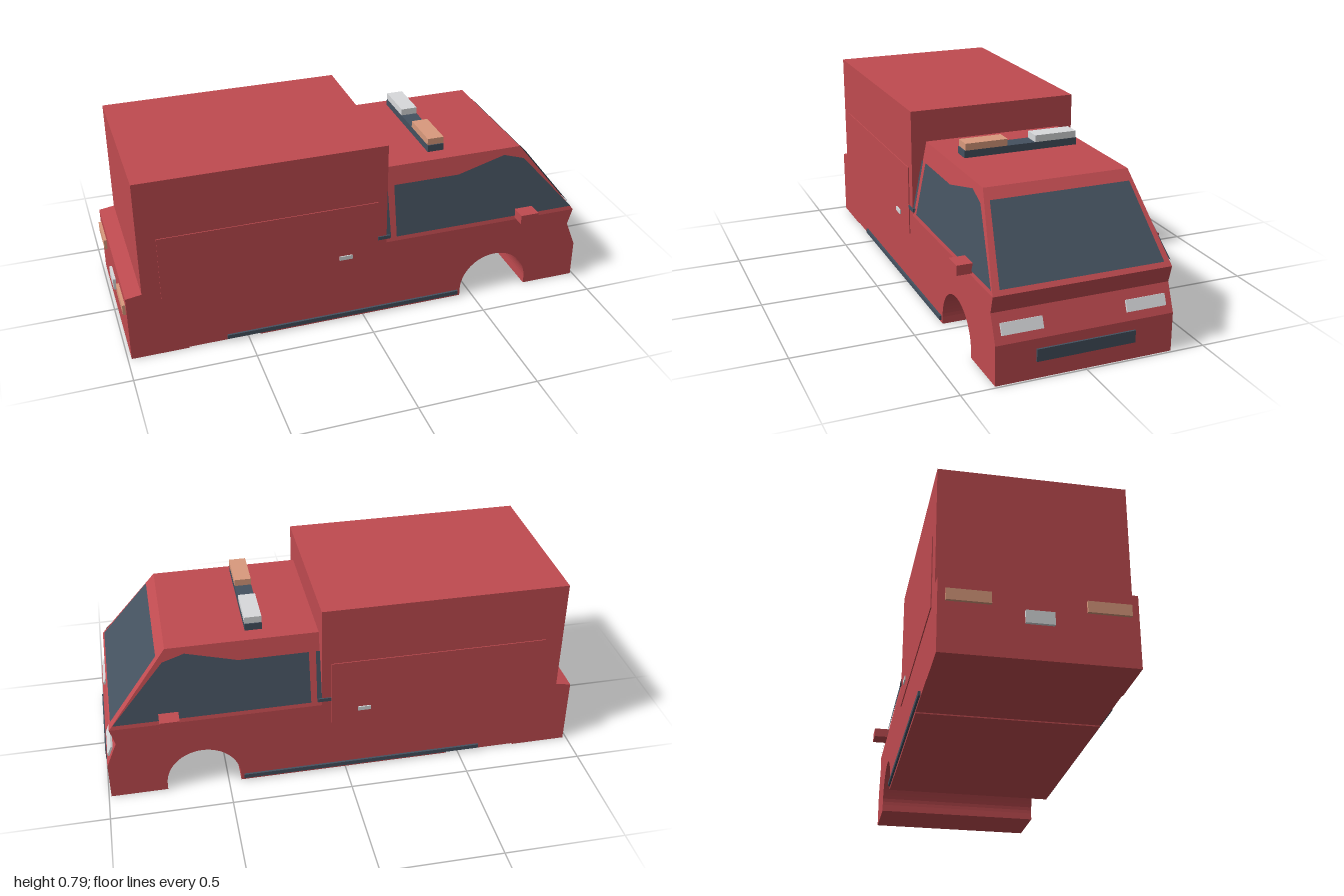
import * as THREE from 'three';
import { ConvexGeometry } from 'three/addons/geometries/ConvexGeometry.js';

const mat = (name, color, extra = {}) => {
  const m = new THREE.MeshStandardMaterial({ color, ...extra });
  m.name = name;
  return m;
};

export function createModel() {
  const group = new THREE.Group();
  group.name = 'serviceVan';
  const red = mat('red paint', 0xc04b50);
  const dark = mat('dark trim', 0x44515f, { side: THREE.DoubleSide });
  const white = mat('white lamp', 0xd8dadc);
  const orange = mat('orange lamp', 0xda9a7d);

  const HALF = 0.363, BELT = 0.34, ROOF = 0.657;

  const add = (name, geometry, material) => {
    const mesh = new THREE.Mesh(geometry, material);
    mesh.name = name;
    group.add(mesh);
    return mesh;
  };
  // Box given by its limits on each axis
  const box = (name, [x0, x1], [y0, y1], [z0, z1], material) => {
    const mesh = add(name, new THREE.BoxGeometry(x1 - x0, y1 - y0, z1 - z0), material);
    mesh.position.set((x0 + x1) / 2, (y0 + y1) / 2, (z0 + z1) / 2);
    return mesh;
  };
  // Flat outline laid onto a sloping surface by a rule
  const panel = (name, points, place) => {
    const geo = new THREE.ShapeGeometry(new THREE.Shape(points.map(p => new THREE.Vector2(...p))));
    const pos = geo.attributes.position;
    for (let i = 0; i < pos.count; i++) pos.setXYZ(i, ...place(pos.getX(i), pos.getY(i)));
    geo.computeVertexNormals();
    return add(name, geo, dark);
  };

  // Lower body with open front wheel arch
  const body = new THREE.Shape();
  body.moveTo(-0.985, 0);
  body.lineTo(-0.75, 0);
  body.lineTo(-0.75, 0.005);
  body.lineTo(-0.45, 0.005);
  body.lineTo(-0.45, 0);
  body.lineTo(0.448, 0);
  body.lineTo(0.448, 0.03);
  body.absarc(0.602, 0.03, 0.154, Math.PI, 0, true);
  body.lineTo(0.756, 0);
  [[0.99, 0], [0.99, 0.16], [0.945, 0.27], [0.965, BELT], [0.1, BELT], [0.1, 0.3],
    [-0.92, 0.3], [-0.985, 0.29]].forEach(p => body.lineTo(...p));
  const bodyGeo = new THREE.ExtrudeGeometry(body, { depth: HALF * 2, bevelEnabled: false, curveSegments: 16 });
  bodyGeo.translate(0, 0, -HALF);
  add('lowerBody', bodyGeo, red);

  // Cargo box and tapered cab
  box('cargoBox', [-0.92, 0.1], [0.29, 0.79], [-HALF, HALF], red);
  const cab = [];
  for (const s of [-1, 1]) {
    cab.push(new THREE.Vector3(0.1, BELT, s * HALF), new THREE.Vector3(0.965, BELT, s * HALF),
      new THREE.Vector3(0.1, ROOF, s * 0.298), new THREE.Vector3(0.715, ROOF, s * 0.298));
  }
  add('cabUpper', new ConvexGeometry(cab), red);

  // Windshield
  panel('windshield', [[-0.333, 0.36], [0.333, 0.36], [0.286, 0.62], [-0.286, 0.62]],
    (z, y) => [0.973 - (y - BELT) * 0.25 / 0.317, y, z]);

  // Parts mirrored on both sides
  for (const s of [-1, 1]) {
    const side = s > 0 ? 'left' : 'right';
    const label = n => (s < 0 ? 'left' : 'right') + n;
    const span = (a, b) => (s > 0 ? [a, b] : [-b, -a]);
    const onCab = (x, y) => [x, y, s * (HALF + 0.005 - (y - BELT) * 0.065 / 0.317)];
    panel(label('SideWindow'), [[0.145, 0.36], [0.95, 0.36], [0.73, 0.605], [0.64, 0.632],
      [0.43, 0.58], [0.145, 0.58]], onCab);
    panel(label('RearSliver'), [[0.1, 0.36], [0.12, 0.36], [0.116, 0.58], [0.1, 0.58]], onCab);
    box(label('WindowStub'), [0.062, 0.115], [0.36, 0.375], span(0.355, 0.368), dark);
    box(label('CargoPanel'), [-0.845, 0.06], [0.245, 0.54], span(0.36, 0.367), red);
    box(label('DoorHandle'), [-0.105, -0.05], [0.296, 0.314], span(0.36, 0.372), white);
    box(label('Sill'), [-0.59, 0.435], [0.012, 0.03], span(0.355, 0.372), dark);
    box(label('Mirror'), [0.685, 0.765], [0.35, 0.39], span(0.34, 0.422), red);

    // Lamps
    const head = box(label('Headlight'), [0.965, 0.977], [0.19, 0.236], span(0.17, 0.335), white);
    head.rotation.z = 0.389;
    box(label('TailLight'), [-0.997, -0.98], [0.2, 0.245], span(0.172, 0.335), orange);
    box(label('Beacon'), [0.32, 0.39], [0.695, 0.723], span(0.06, 0.238), side === 'left' ? orange : white);
  }

  // Light bar, grille and rear plate
  box('lightBar', [0.32, 0.39], [0.665, 0.695], [-0.242, 0.242], dark);
  box('grille', [0.98, 0.998], [0.07, 0.12], [-0.202, 0.202], dark);
  box('rearPlate', [-0.997, -0.98], [0.137, 0.187], [-0.053, 0.053], white);

  return group;
}
